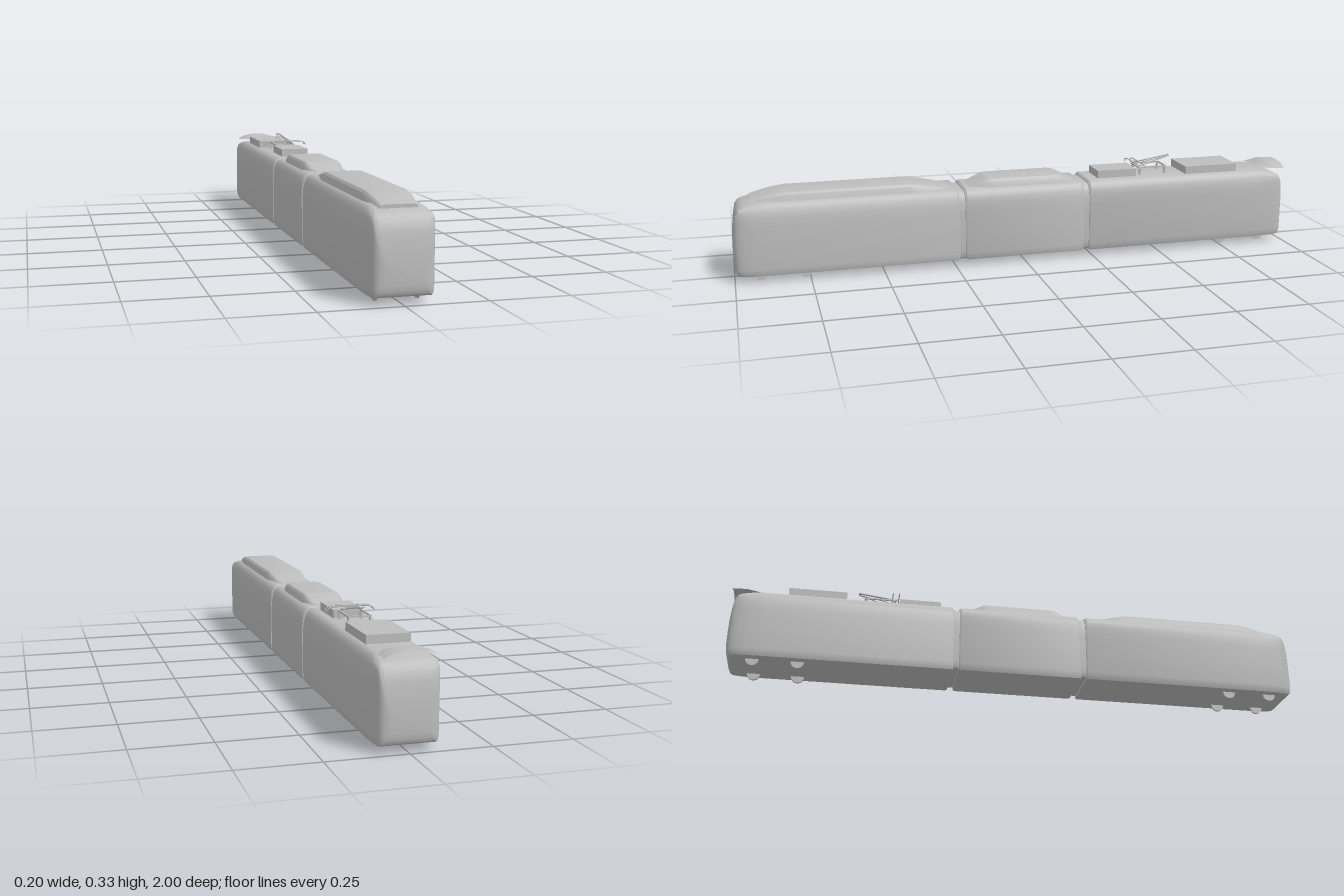
import * as THREE from 'three';
import { toCreasedNormals } from 'three/addons/utils/BufferGeometryUtils.js';

const grey = new THREE.MeshStandardMaterial({ color: 0xbdbdbd });
grey.name = 'light grey';
const greySheet = new THREE.MeshStandardMaterial({ color: 0xbdbdbd, side: THREE.DoubleSide });
greySheet.name = 'light grey';

// Right half of the sections, bottom to top, as [part of half width, part of height]
const BODY = [[0.95, 0], [0.985, 0.04], [1, 0.1], [1, 0.4], [1, 0.68], [0.975, 0.81], [0.93, 0.89], [0.86, 0.95], [0.77, 0.985], [0.66, 1]];
const NOSE = [[0.93, 0], [0.975, 0.03], [1, 0.1], [1, 0.4], [1, 0.75], [0.995, 0.88], [0.98, 0.94], [0.95, 0.975], [0.9, 0.993], [0.82, 1]];
const POD = [[1, 0], [0.97, 0.25], [0.88, 0.75], [0.8, 0.94], [0.68, 1]];

// Full counter-clockwise section; blend moves from the first half section to the second
function section(a, b, blend, z, w, y0, y1) {
  const half = a.map(([x, y], i) => [
    w * THREE.MathUtils.lerp(x, b[i][0], blend),
    y0 + (y1 - y0) * THREE.MathUtils.lerp(y, b[i][1], blend), z]);
  return [...half, ...half.map(([x, y]) => [-x, y, z]).reverse()];
}

// Capped skin through sections ordered by rising z
function loft(rings, crease = 0.6) {
  const n = rings[0].length, last = (rings.length - 1) * n, index = [];
  for (let i = 0; i < rings.length - 1; i++) {
    for (let j = 0; j < n; j++) {
      const a = i * n + j, b = i * n + (j + 1) % n;
      index.push(a, b, b + n, a, b + n, a + n);
    }
  }
  for (let j = 1; j < n - 1; j++) index.push(0, j + 1, j, last, last + j, last + j + 1);
  const g = new THREE.BufferGeometry();
  g.setAttribute('position', new THREE.Float32BufferAttribute(rings.flat(2), 3));
  g.setIndex(index);
  return toCreasedNormals(g, crease);
}

export function createModel() {
  const tram = new THREE.Group();
  tram.name = 'tram';
  const add = (name, geometry, x = 0, y = 0, z = 0, parent = tram, material = grey) => {
    const m = new THREE.Mesh(geometry, material);
    m.name = name;
    m.position.set(x, y, z);
    parent.add(m);
    return m;
  };
  const box = (name, w, h, d, x, y, z, parent) => add(name, new THREE.BoxGeometry(w, h, d), x, y, z, parent);
  const body = (rows) => loft(rows.map(([z, w, y0, y1, s]) => section(BODY, NOSE, s, z, w, y0, y1)));
  const pod = (rows) => loft(rows.map(([z, w, y1]) => section(POD, POD, 0, z, w, 0.262, y1)), 0.35);

  // End cars with a raked, rounded nose
  const endCar = body([
    [0.235, 0.096, 0.025, 0.268, 0], [0.242, 0.1, 0.023, 0.273, 0],
    [0.89, 0.1, 0.023, 0.273, 0], [0.93, 0.099, 0.023, 0.267, 0.3],
    [0.96, 0.0965, 0.023, 0.259, 0.7], [0.975, 0.093, 0.023, 0.252, 1],
    [0.985, 0.089, 0.024, 0.238, 1], [0.992, 0.083, 0.03, 0.205, 1],
    [0.997, 0.074, 0.042, 0.165, 1], [1, 0.058, 0.062, 0.125, 1]]);
  add('frontCar', endCar);
  add('rearCar', endCar).rotation.y = Math.PI;

  // Middle car and the gangways joining it to the end cars
  add('middleCar', body([
    [-0.215, 0.096, 0.025, 0.268, 0], [-0.208, 0.1, 0.023, 0.273, 0],
    [0.208, 0.1, 0.023, 0.273, 0], [0.215, 0.096, 0.025, 0.268, 0]]));
  for (const s of [-1, 1]) {
    const z = s * 0.225;
    add('gangway', body([[z - 0.015, 0.093, 0.033, 0.264, 0], [z + 0.015, 0.093, 0.033, 0.264, 0]]));
  }

  // Streamlined roof pods
  add('frontRoofPod', pod([
    [0.25, 0.045, 0.272], [0.3, 0.066, 0.281], [0.37, 0.075, 0.296], [0.4, 0.076, 0.3],
    [0.82, 0.076, 0.3], [0.87, 0.073, 0.293], [0.91, 0.066, 0.283], [0.94, 0.06, 0.275]]));
  add('middleRoofPod', pod([
    [-0.195, 0.04, 0.273], [-0.17, 0.062, 0.281], [-0.13, 0.073, 0.298], [-0.11, 0.074, 0.3],
    [0.11, 0.074, 0.3], [0.13, 0.073, 0.298], [0.17, 0.062, 0.281], [0.195, 0.04, 0.273]]));

  // Equipment boxes on the rear roof
  box('smallRoofBox', 0.1, 0.032, 0.145, 0, 0.284, -0.352);
  box('largeRoofBox', 0.136, 0.032, 0.2, 0, 0.284, -0.71);

  // Thin arched rear visor
  const visor = new THREE.PlaneGeometry(1, 1, 12, 6);
  const p = visor.attributes.position;
  for (let i = 0; i < p.count; i++) {
    const u = p.getX(i) * 2, v = 0.5 - p.getY(i);
    const rise = Math.min(1, v / 0.5);
    p.setXYZ(i, -u * (0.056 + 0.024 * rise), 0.279 + 0.018 * rise - 0.003 * v - 0.019 * rise * Math.abs(u) ** 2.5, -0.9 - 0.1 * v);
  }
  visor.computeVertexNormals();
  add('rearVisor', visor, 0, 0, 0, tram, greySheet);

  // Pantograph: base frame on legs, folded arm and two collector bars
  const pantograph = new THREE.Group();
  pantograph.name = 'pantograph';
  tram.add(pantograph);
  const rod = (name, points, r) => add(name, new THREE.TubeGeometry(
    new THREE.CatmullRomCurve3(points.map((q) => new THREE.Vector3(...q))), points.length * 6, r, 6), 0, 0, 0, pantograph);
  for (const s of [-1, 1]) {
    box('baseRail', 0.005, 0.005, 0.11, s * 0.036, 0.3, -0.493, pantograph);
    for (const z of [-0.445, -0.54]) box('baseLeg', 0.006, 0.03, 0.006, s * 0.036, 0.286, z, pantograph);
    rod('armRod', [[s * 0.031, 0.304, -0.44], [s * 0.007, 0.332, -0.567]], 0.0022);
    rod('innerRod', [[s * 0.013, 0.311, -0.44], [s * 0.004, 0.331, -0.567]], 0.0016);
  }
  for (const z of [-0.44, -0.545]) box('baseCrossbar', 0.077, 0.005, 0.006, 0, 0.3, z, pantograph);
  rod('armTip', [[-0.008, 0.332, -0.567], [0.008, 0.332, -0.567]], 0.0025);
  for (const z of [-0.428, -0.45]) {
    rod('collectorBar', [[-0.081, 0.3, z], [-0.072, 0.31, z], [-0.057, 0.3145, z], [0, 0.3145, z],
      [0.057, 0.3145, z], [0.072, 0.31, z], [0.081, 0.3, z]], 0.002);
  }
  for (const s of [-1, 1]) box('collectorLink', 0.004, 0.004, 0.024, s * 0.015, 0.3125, -0.439, pantograph);

  // Wheels, half hidden under the floor
  const wheel = new THREE.CylinderGeometry(0.022, 0.022, 0.007, 24).rotateZ(Math.PI / 2);
  for (const z of [0.915, 0.765, -0.76, -0.91]) {
    for (const s of [-1, 1]) add('wheel', wheel, s * 0.063, 0.022, z);
  }
  return tram;
}
